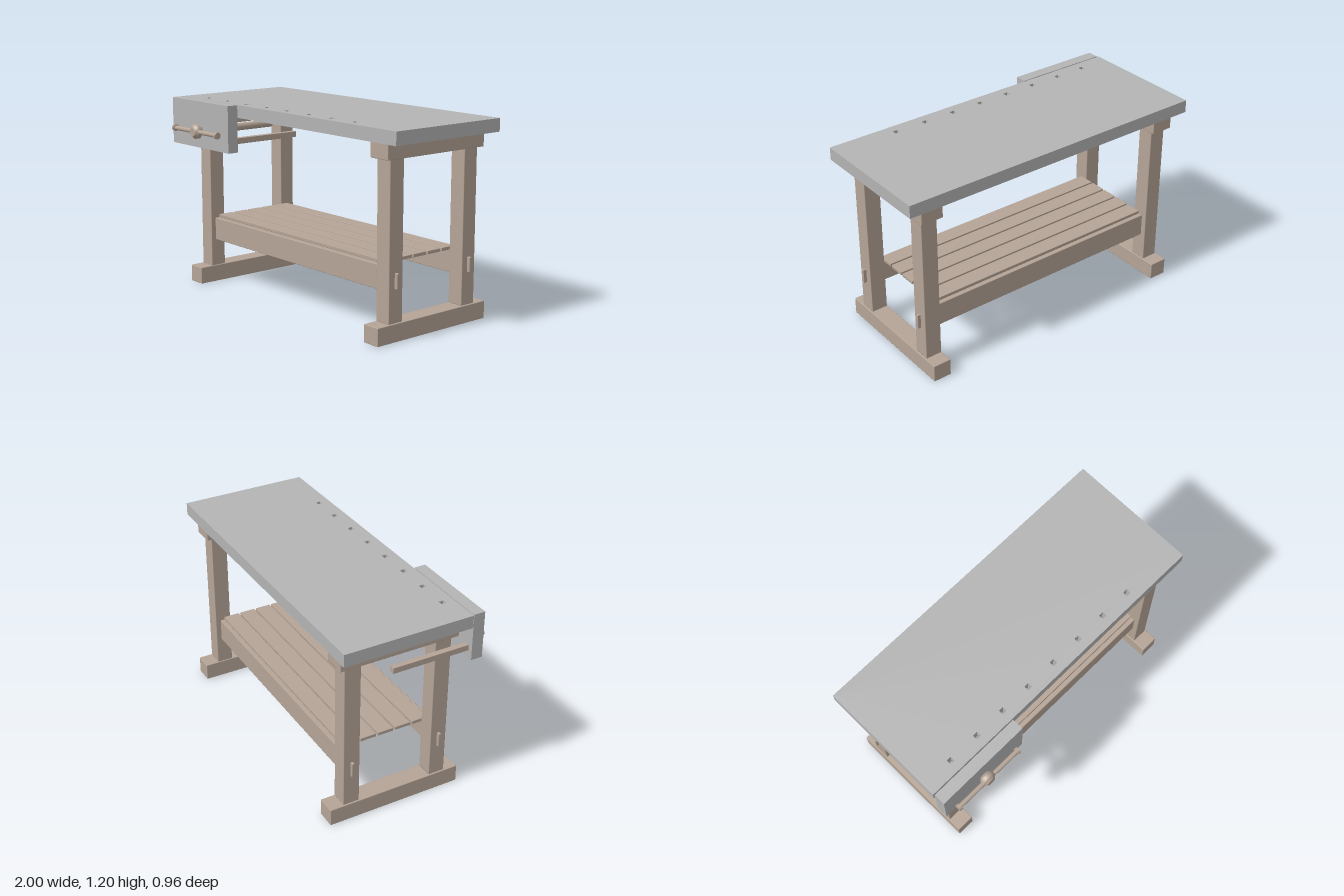
import * as THREE from 'three';
import { RoundedBoxGeometry } from 'three/addons/geometries/RoundedBoxGeometry.js';

export function createModel() {
  const model = new THREE.Group();
  model.name = 'workbench';
  const wood = new THREE.MeshStandardMaterial({ color: 0xb5a496 });
  wood.name = 'brown wood';
  const grey = new THREE.MeshStandardMaterial({ color: 0xb4b4b4 });
  grey.name = 'grey worktop';

  const add = (name, geometry, material, parent = model) => {
    const mesh = new THREE.Mesh(geometry, material);
    mesh.name = name;
    parent.add(mesh);
    return mesh;
  };
  // Box given by its extents, with optional eased edges
  const beam = (name, [x0, x1], [y0, y1], [z0, z1], material = wood, ease = 0.004, parent = model) => {
    const size = [x1 - x0, y1 - y0, z1 - z0];
    const geo = ease ? new RoundedBoxGeometry(...size, 1, ease) : new THREE.BoxGeometry(...size);
    const mesh = add(name, geo, material, parent);
    mesh.position.set((x0 + x1) / 2, (y0 + y1) / 2, (z0 + z1) / 2);
    return mesh;
  };

  // Worktop with a row of square dog holes cut right through
  const top = new THREE.Shape();
  top.moveTo(-1, -0.345).lineTo(1, -0.345).lineTo(1, 0.455).lineTo(-1, 0.455).closePath();
  const h = 0.015;
  for (let i = 0; i < 8; i++) {
    const x = -0.8 + i * 0.2, y = -0.275;
    const hole = new THREE.Path();
    hole.moveTo(x - h, y - h).lineTo(x - h, y + h).lineTo(x + h, y + h).lineTo(x + h, y - h).closePath();
    top.holes.push(hole);
  }
  const topGeo = new THREE.ExtrudeGeometry(top, { depth: 0.078, bevelEnabled: false });
  topGeo.rotateX(-Math.PI / 2).translate(0, 1.122, 0);
  add('worktop', topGeo, grey);

  // Two trestle ends: foot, two legs and a top rail
  for (const side of [-1, 1]) {
    const end = new THREE.Group();
    end.name = side > 0 ? 'leftTrestle' : 'rightTrestle';
    model.add(end);
    const across = (c, w) => [side * c - w / 2, side * c + w / 2];
    beam('foot', across(0.843, 0.115), [0, 0.107], [-0.476, 0.372], wood, 0.004, end);
    beam('frontLeg', across(0.841, 0.103), [0.107, 1.032], [0.182, 0.284], wood, 0.004, end);
    beam('backLeg', across(0.841, 0.103), [0.107, 1.032], [-0.39, -0.288], wood, 0.004, end);
    beam('topRail', across(0.841, 0.14), [1.03, 1.122], [-0.425, 0.32], wood, 0.004, end);
  }

  // Long stretchers with tenons passing through the legs
  for (const [name, z] of [['frontStretcher', 0.233], ['backStretcher', -0.338]]) {
    beam(name, [-0.79, 0.79], [0.278, 0.422], [z - 0.02, z + 0.02]);
    beam(name + 'Tenon', [-0.913, 0.913], [0.303, 0.395], [z - 0.009, z + 0.009]);
  }

  // Shelf slats
  for (let i = 0; i < 5; i++) {
    const z = -0.054 + (i - 2) * 0.1135;
    beam('shelfSlat', [-0.785, 0.785], [0.422, 0.443], [z - 0.051, z + 0.051], wood, 0.003);
  }

  // Front vise
  const vise = new THREE.Group();
  vise.name = 'vise';
  model.add(vise);
  const vx = -0.695, vy = 1.015;
  beam('viseJaw', [-0.994, -0.396], [0.91, 1.2], [0.352, 0.423], grey, 0, vise);
  for (const dx of [-0.25, 0.25]) {
    beam('guideBar', [vx + dx - 0.018, vx + dx + 0.018], [0.956, 0.992], [-0.13, 0.355], wood, 0.002, vise);
  }
  const screw = add('viseScrew', new THREE.CylinderGeometry(0.024, 0.024, 0.487, 24), wood, vise);
  screw.rotation.x = Math.PI / 2;
  screw.position.set(vx, vy, 0.1125);

  // Chamfered screw head; each band is its own lathe so edges stay crisp
  const profile = [[0.03, 0], [0.045, 0.016], [0.045, 0.04], [0.028, 0.058], [0, 0.058]];
  for (let i = 0; i < profile.length - 1; i++) {
    const band = [profile[i], profile[i + 1]].map(([r, y]) => new THREE.Vector2(r, y));
    const head = add('screwHead', new THREE.LatheGeometry(band, 24), wood, vise);
    head.rotation.x = Math.PI / 2;
    head.position.set(vx, vy, 0.422);
  }

  // Sliding handle with end knobs
  const handle = add('viseHandle', new THREE.CylinderGeometry(0.014, 0.014, 0.45, 20), wood, vise);
  handle.rotation.z = Math.PI / 2;
  handle.position.set(vx, vy, 0.455);
  for (const s of [-1, 1]) {
    const knob = add('handleKnob', new THREE.CylinderGeometry(0.021, 0.021, 0.018, 20), wood, vise);
    knob.rotation.z = Math.PI / 2;
    knob.position.set(vx + s * 0.228, vy, 0.455);
  }
  return model;
}
